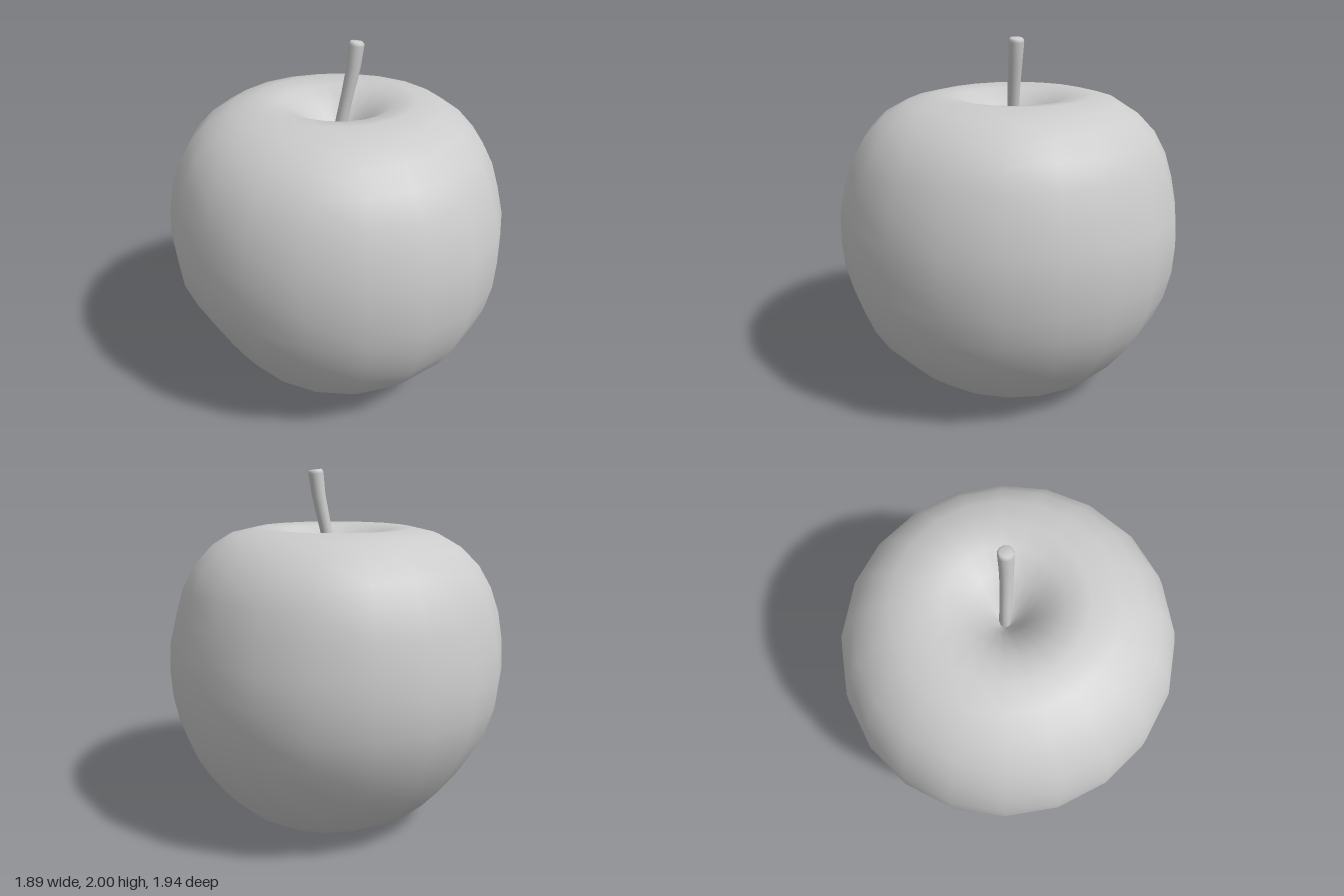
import * as THREE from 'three';
import { mergeVertices } from 'three/addons/utils/BufferGeometryUtils.js';

const SIDES = 20;
const Z_SHIFT = -0.025;

// Each ring: height, then reach towards +x, -x, +z, -z
const RINGS = [
  [0.10, 0, 0, 0, 0],
  [0.08, 0.09, 0.09, 0.09, 0.09],
  [0.035, 0.19, 0.18, 0.18, 0.18],
  [0.0, 0.33, 0.29, 0.29, 0.30],
  [0.03, 0.46, 0.42, 0.43, 0.43],
  [0.11, 0.58, 0.54, 0.56, 0.56],
  [0.21, 0.68, 0.63, 0.68, 0.67],
  [0.33, 0.77, 0.71, 0.79, 0.77],
  [0.46, 0.85, 0.79, 0.87, 0.85],
  [0.60, 0.90, 0.87, 0.925, 0.92],
  [0.75, 0.93, 0.93, 0.96, 0.96],
  [0.91, 0.94, 0.95, 0.97, 0.97],
  [1.06, 0.93, 0.945, 0.965, 0.955],
  [1.22, 0.89, 0.92, 0.93, 0.925],
  [1.36, 0.85, 0.87, 0.88, 0.88],
  [1.48, 0.79, 0.80, 0.81, 0.81],
  [1.58, 0.70, 0.70, 0.71, 0.71],
  [1.65, 0.59, 0.57, 0.58, 0.60],
  [1.685, 0.44, 0.42, 0.42, 0.46],
  [1.67, 0.31, 0.30, 0.30, 0.32],
  [1.60, 0.19, 0.19, 0.19, 0.20],
  [1.50, 0.10, 0.10, 0.10, 0.10],
  [1.42, 0.04, 0.04, 0.04, 0.04],
  [1.39, 0, 0, 0, 0],
];

// Lathe whose rings are reshaped into slightly uneven ovals
function fruitGeometry() {
  const profile = RINGS.map(([y, right]) => new THREE.Vector2(right, y));
  const geometry = new THREE.LatheGeometry(profile, SIDES);
  const pos = geometry.attributes.position;
  for (let i = 0; i < pos.count; i++) {
    const [y, px, nx, pz, nz] = RINGS[i % RINGS.length];
    const column = Math.floor(i / RINGS.length) % SIDES;
    const angle = (column / SIDES) * Math.PI * 2;
    const s = Math.sin(angle), c = Math.cos(angle);
    const reachZ = c > 0 ? pz - Z_SHIFT : nz + Z_SHIFT;
    const r = s * s * (s > 0 ? px : nx) + c * c * Math.max(0, px ? reachZ : 0);
    pos.setXYZ(i, r * s, y, r * c + Z_SHIFT);
  }
  // Weld the seam so the shading is continuous
  geometry.deleteAttribute('uv');
  geometry.deleteAttribute('normal');
  const welded = mergeVertices(geometry, 1e-4);
  welded.computeVertexNormals();
  return welded;
}

// Curved stalk: a closed lathe bent along a leaning path
function stalkGeometry() {
  const path = new THREE.CatmullRomCurve3([
    new THREE.Vector3(-0.01, 1.36, -0.02),
    new THREE.Vector3(0.02, 1.53, -0.005),
    new THREE.Vector3(0.055, 1.71, 0.012),
    new THREE.Vector3(0.085, 1.86, 0.022),
    new THREE.Vector3(0.102, 1.995, 0.025),
  ]);
  // Radius and position along the path
  const profile = [
    [0, 0], [0.032, 0], [0.032, 0.25], [0.034, 0.5], [0.038, 0.75],
    [0.042, 0.96], [0.040, 0.985], [0.032, 1], [0, 1],
  ].map(([r, t]) => new THREE.Vector2(r, t));
  const geometry = new THREE.LatheGeometry(profile, 12);
  const pos = geometry.attributes.position;
  const up = new THREE.Vector3(0, 1, 0);
  const turn = new THREE.Quaternion();
  const v = new THREE.Vector3();
  for (let i = 0; i < pos.count; i++) {
    const t = pos.getY(i);
    v.set(pos.getX(i), 0, pos.getZ(i));
    v.applyQuaternion(turn.setFromUnitVectors(up, path.getTangent(t)));
    v.add(path.getPoint(t));
    pos.setXYZ(i, v.x, Math.min(v.y, 2), v.z);
  }
  geometry.deleteAttribute('uv');
  geometry.deleteAttribute('normal');
  const welded = mergeVertices(geometry, 1e-4);
  welded.computeVertexNormals();
  return welded;
}

export function createModel() {
  const material = new THREE.MeshStandardMaterial({ color: 0xcccccc });
  const group = new THREE.Group();
  group.name = 'apple';

  const fruit = new THREE.Mesh(fruitGeometry(), material);
  fruit.name = 'fruit';

  const stalk = new THREE.Mesh(stalkGeometry(), material);
  stalk.name = 'stalk';

  group.add(fruit, stalk);
  return group;
}
